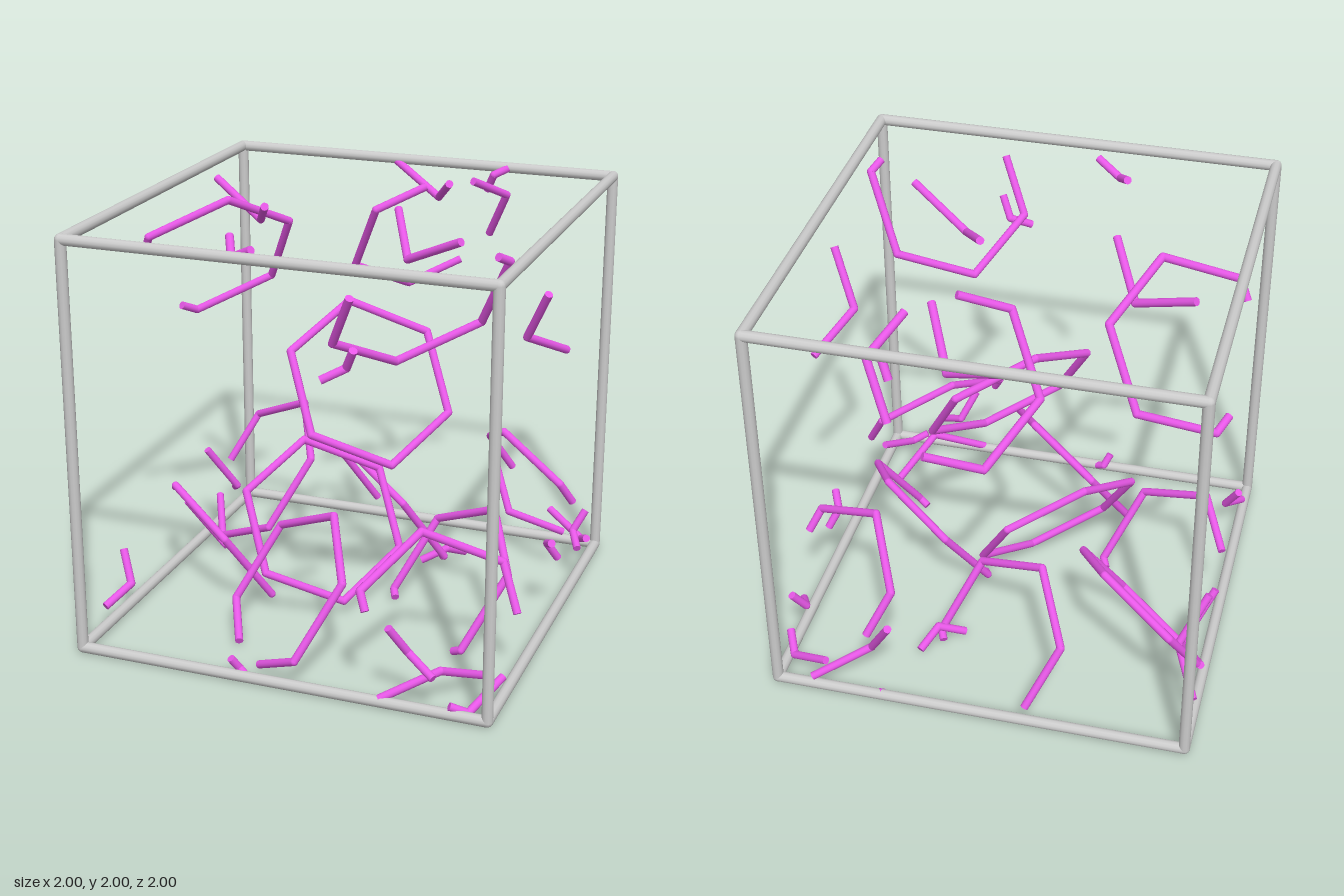
import * as THREE from 'three';

const HALF = 0.974;          // half the box, measured to the bar centres
const PERIOD = 2 * HALF;
const UNIT = 0.1665;         // lattice step of the hexagons
const CENTRE = new THREE.Vector3(0, 1, 0);

const grey = new THREE.MeshStandardMaterial({ color: 0xcccccc });
const magenta = new THREE.MeshStandardMaterial({ color: 0xe858e8 });

// Rod between two points
function rod(a, b, radius, material, name) {
  const dir = b.clone().sub(a);
  const mesh = new THREE.Mesh(new THREE.CylinderGeometry(radius, radius, dir.length(), 12), material);
  mesh.position.copy(a).add(b).multiplyScalar(0.5);
  mesh.quaternion.setFromUnitVectors(new THREE.Vector3(0, 1, 0), dir.normalize());
  mesh.name = name;
  return mesh;
}

// Ball that rounds a joint
function joint(p, radius, material, name) {
  const mesh = new THREE.Mesh(new THREE.SphereGeometry(radius, 12, 8), material);
  mesh.position.copy(p);
  mesh.name = name;
  return mesh;
}

// Whole-box shift that brings a point back inside the box
function wrapShift(p) {
  const w = (v) => -PERIOD * Math.round(v / PERIOD);
  return new THREE.Vector3(w(p.x), w(p.y - 1), w(p.z));
}

// Rod split at the box walls, each piece re-entering through the opposite wall
function addWrappedRod(group, a, b, radius) {
  const cuts = [0, 1];
  for (const axis of ['x', 'y', 'z']) {
    for (const wall of [-HALF, HALF]) {
      const t = (CENTRE[axis] + wall - a[axis]) / (b[axis] - a[axis]);
      if (t > 0 && t < 1) cuts.push(t);
    }
  }
  cuts.sort((p, q) => p - q);
  for (let i = 0; i < cuts.length - 1; i++) {
    if (cuts[i + 1] - cuts[i] < 1e-3) continue;
    const p = a.clone().lerp(b, cuts[i]);
    const q = a.clone().lerp(b, cuts[i + 1]);
    const shift = wrapShift(p.clone().lerp(q, 0.5));
    group.add(rod(p.add(shift), q.add(shift), radius, magenta, 'ringEdge'));
  }
}

// Flat regular hexagon facing one of the cube's diagonals
const HEXAGON = [[2, -1, -1], [1, 1, -2], [-1, 2, -1], [-2, 1, 1], [-1, -1, 2], [1, -2, 1]];

function hexagonRing([cx, cy, cz], [sx, sy, sz]) {
  const group = new THREE.Group();
  group.name = 'hexagonRing';
  const radius = 0.019;
  const corners = HEXAGON.map(([x, y, z]) =>
    new THREE.Vector3(cx + sx * x * UNIT, cy + sy * y * UNIT, cz + sz * z * UNIT));
  corners.forEach((p, i) => {
    addWrappedRod(group, p, corners[(i + 1) % 6], radius);
    group.add(joint(p.clone().add(wrapShift(p)), radius, magenta, 'ringCorner'));
  });
  return group;
}

// Twelve bars and eight rounded corners
function boxFrame() {
  const group = new THREE.Group();
  group.name = 'boxFrame';
  const radius = 0.026;
  const at = (i, j, k) => new THREE.Vector3(i * HALF, 1 + j * HALF, k * HALF);
  for (const i of [-1, 1]) {
    for (const j of [-1, 1]) {
      group.add(rod(at(-1, i, j), at(1, i, j), radius, grey, 'barAcross'));
      group.add(rod(at(i, -1, j), at(i, 1, j), radius, grey, 'barUpright'));
      group.add(rod(at(i, j, -1), at(i, j, 1), radius, grey, 'barDeep'));
      for (const k of [-1, 1]) group.add(joint(at(i, j, k), radius, grey, 'frameCorner'));
    }
  }
  return group;
}

// Ring centres, grouped by the diagonal they face
const RINGS = [
  { facing: [1, 1, 1], centres: [[0.09, 1.14, 0.02], [0.71, 0.36, 0.77], [-0.145, 0.405, 0.03]] },
  { facing: [1, -1, 1], centres: [[-0.765, 1.63, -0.105], [0.145, 1.7, -0.69], [0.555, 1.775, 0.685]] },
  { facing: [1, 1, -1], centres: [[-0.685, 0.215, 0.035], [0.755, 0.42, -0.71], [-0.03, 0.215, -0.67]] },
  { facing: [1, -1, -1], centres: [[-0.69, 0.385, -0.505], [0.52, 0.215, 0.105], [-0.095, 0.3, 0.62]] },
];

export function createModel() {
  const model = new THREE.Group();
  model.name = 'ringsInBox';
  model.add(boxFrame());
  for (const { facing, centres } of RINGS) {
    for (const c of centres) model.add(hexagonRing(c, facing));
  }
  return model;
}
